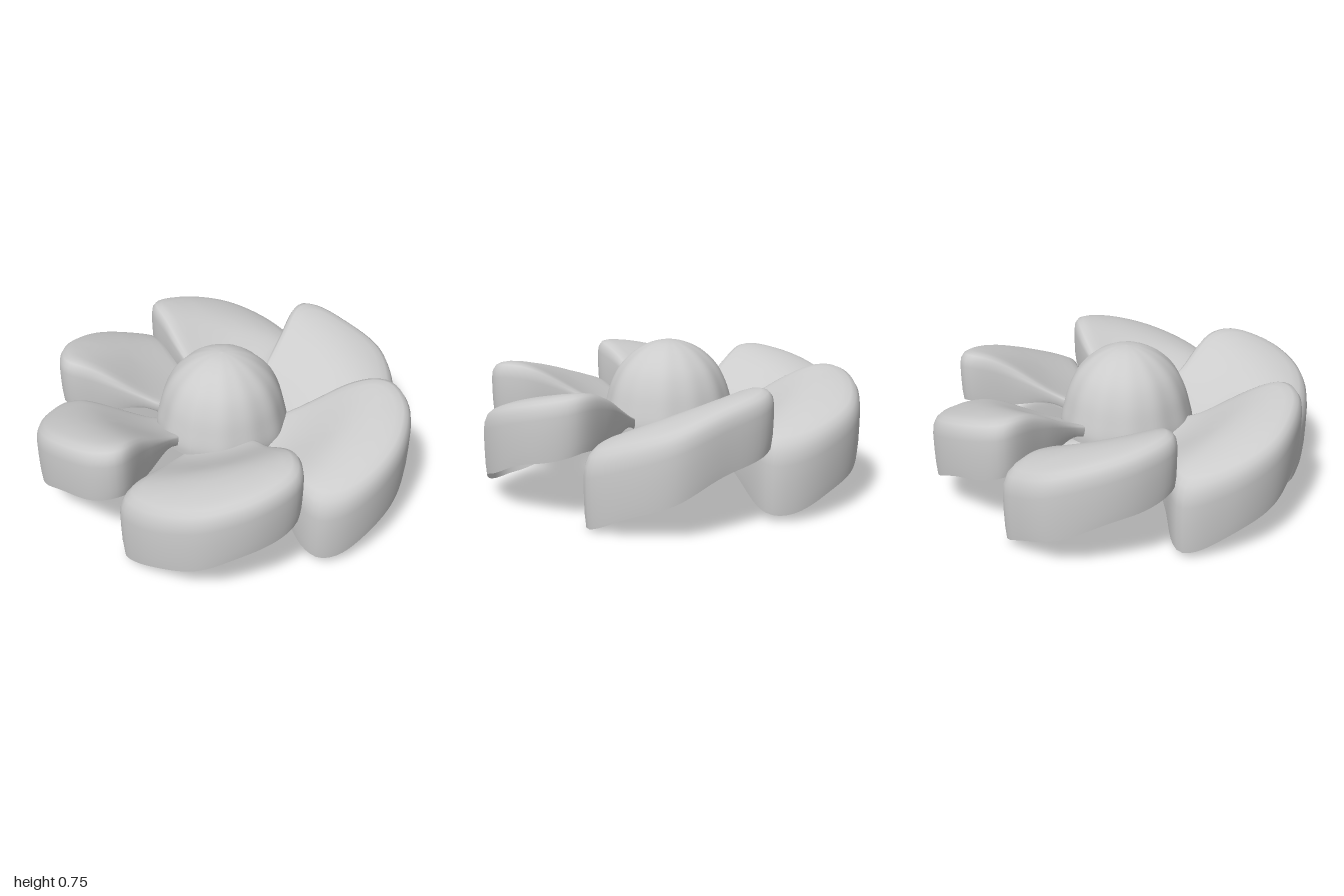
import * as THREE from 'three';

const material = new THREE.MeshStandardMaterial({ color: 0xcccccc, side: THREE.DoubleSide });

// Sideways tilt and plan outline (x, z pairs) of each petal, from one inner corner round the rim to the other
const petals = {
  rightPetal: [0.29, [0.28, -0.1, 0.37, -0.18, 0.6, -0.32, 0.8, -0.365, 0.93, -0.25, 0.995, 0, 0.95, 0.25, 0.84, 0.42, 0.73, 0.47, 0.58, 0.4, 0.36, 0.17, 0.28, 0.08]],
  frontRightPetal: [0.29, [0.24, 0.17, 0.4, 0.28, 0.62, 0.43, 0.695, 0.59, 0.6, 0.79, 0.4, 0.935, 0.2, 0.965, 0, 0.925, -0.13, 0.84, -0.1, 0.6, -0.08, 0.36, -0.04, 0.27]],
  frontLeftPetal: [0.29, [-0.09, 0.27, -0.1, 0.38, -0.1, 0.6, -0.115, 0.83, -0.22, 0.885, -0.42, 0.86, -0.65, 0.75, -0.8, 0.54, -0.83, 0.3, -0.6, 0.22, -0.4, 0.15, -0.27, 0.1]],
  leftPetal: [0.29, [-0.28, 0.1, -0.4, 0.16, -0.6, 0.24, -0.8, 0.28, -0.93, 0.15, -0.995, -0.05, -0.975, -0.3, -0.86, -0.46, -0.75, -0.535, -0.5, -0.38, -0.33, -0.25, -0.26, -0.14]],
  backLeftPetal: [0.29, [-0.23, -0.16, -0.33, -0.23, -0.55, -0.36, -0.74, -0.52, -0.68, -0.71, -0.45, -0.925, -0.2, -0.97, -0.03, -0.93, 0.055, -0.85, 0.035, -0.6, 0.015, -0.38, -0.03, -0.28]],
  backRightPetal: [0.35, [0.03, -0.28, 0.035, -0.38, 0.04, -0.6, 0.045, -0.86, 0.13, -0.915, 0.32, -0.9, 0.58, -0.83, 0.73, -0.63, 0.785, -0.39, 0.6, -0.31, 0.4, -0.21, 0.26, -0.13]],
};

// [share of outline, share of wall drop] from the middle of the top, over the rim, down the wall
const rings = [
  [0.2, 0], [0.4, 0], [0.6, 0], [0.76, 0], [0.87, 0.015], [0.94, 0.06], [0.985, 0.16],
  [1, 0.3], [1, 0.55], [0.995, 0.8], [0.98, 1],
];
const SEGMENTS = 72;

// One hollow petal: tilted top with a rounded rim and an open-bottomed skirt
function makePetal(name, tilt, flat) {
  const points = [];
  for (let i = 0; i < flat.length; i += 2) points.push(new THREE.Vector3(flat[i], 0, flat[i + 1]));
  const curve = new THREE.CatmullRomCurve3(points, true, 'centripetal');
  const edge = curve.getSpacedPoints(SEGMENTS).slice(0, SEGMENTS);
  const centre = edge.reduce((sum, p) => sum.add(p), new THREE.Vector3()).divideScalar(SEGMENTS);
  const out = centre.clone().normalize();
  const acrossAt = (x, z) => x * out.z - z * out.x;

  // Top height: dips towards the middle of the flower and leans up along one side
  const topHeight = (x, z) => {
    const r = Math.hypot(x, z);
    const across = acrossAt(x, z);
    const lift = THREE.MathUtils.smoothstep(r, 0.28, 0.8);
    return 0.365 + 0.175 * lift + tilt * across - 0.17 * across * across - 0.15 * Math.max(0, r - 0.85);
  };

  const positions = [centre.x, topHeight(centre.x, centre.z), centre.z];
  const index = [];
  rings.forEach(([scale, drop], k) => {
    edge.forEach((p, i) => {
      const x = centre.x + (p.x - centre.x) * scale;
      const z = centre.z + (p.z - centre.z) * scale;
      // The skirt is shallow by the middle and deepest at the low outer corner
      const full = 0.315 - 0.08 * acrossAt(p.x, p.z);
      const depth = THREE.MathUtils.lerp(0.07, full, THREE.MathUtils.smoothstep(Math.hypot(p.x, p.z), 0.36, 0.8));
      const ragged = drop === 1 ? 0.006 * Math.sin(i * 0.52) : 0;
      positions.push(x, Math.max(0, topHeight(x, z) - drop * depth + ragged), z);
      const j = (i + 1) % SEGMENTS;
      const a = 1 + k * SEGMENTS + i;
      const b = 1 + k * SEGMENTS + j;
      if (k === 0) index.push(0, b, a);
      else index.push(a - SEGMENTS, b - SEGMENTS, b, a - SEGMENTS, b, a);
    });
  });
  const geometry = new THREE.BufferGeometry();
  geometry.setAttribute('position', new THREE.Float32BufferAttribute(positions, 3));
  geometry.setIndex(index);
  geometry.computeVertexNormals();
  const mesh = new THREE.Mesh(geometry, material);
  mesh.name = name;
  return mesh;
}

// Hollow domed centre with soft radial creases, flaring slightly into the petals
function makeCentre() {
  const profile = new THREE.SplineCurve([
    [0.345, 0.31], [0.345, 0.36], [0.33, 0.43], [0.3, 0.53], [0.25, 0.62], [0.17, 0.695], [0.08, 0.738], [0, 0.75],
  ].map(([r, y]) => new THREE.Vector2(r, y))).getPoints(28);
  profile[profile.length - 1].x = 0;
  const geometry = new THREE.LatheGeometry(profile, 96);
  const pos = geometry.attributes.position;
  for (let i = 0; i < pos.count; i++) {
    const x = pos.getX(i), z = pos.getZ(i);
    const angle = Math.atan2(z, x);
    const crease = 1 + 0.008 * Math.sin(angle * 13) + 0.006 * Math.sin(angle * 7 + 1);
    pos.setX(i, x * crease);
    pos.setZ(i, z * crease);
  }
  geometry.computeVertexNormals();
  const mesh = new THREE.Mesh(geometry, material);
  mesh.name = 'centreDome';
  mesh.position.x = -0.01;
  return mesh;
}

export function createModel() {
  const flower = new THREE.Group();
  flower.name = 'flower';
  for (const [name, [tilt, outline]] of Object.entries(petals)) flower.add(makePetal(name, tilt, outline));
  flower.add(makeCentre());
  return flower;
}
